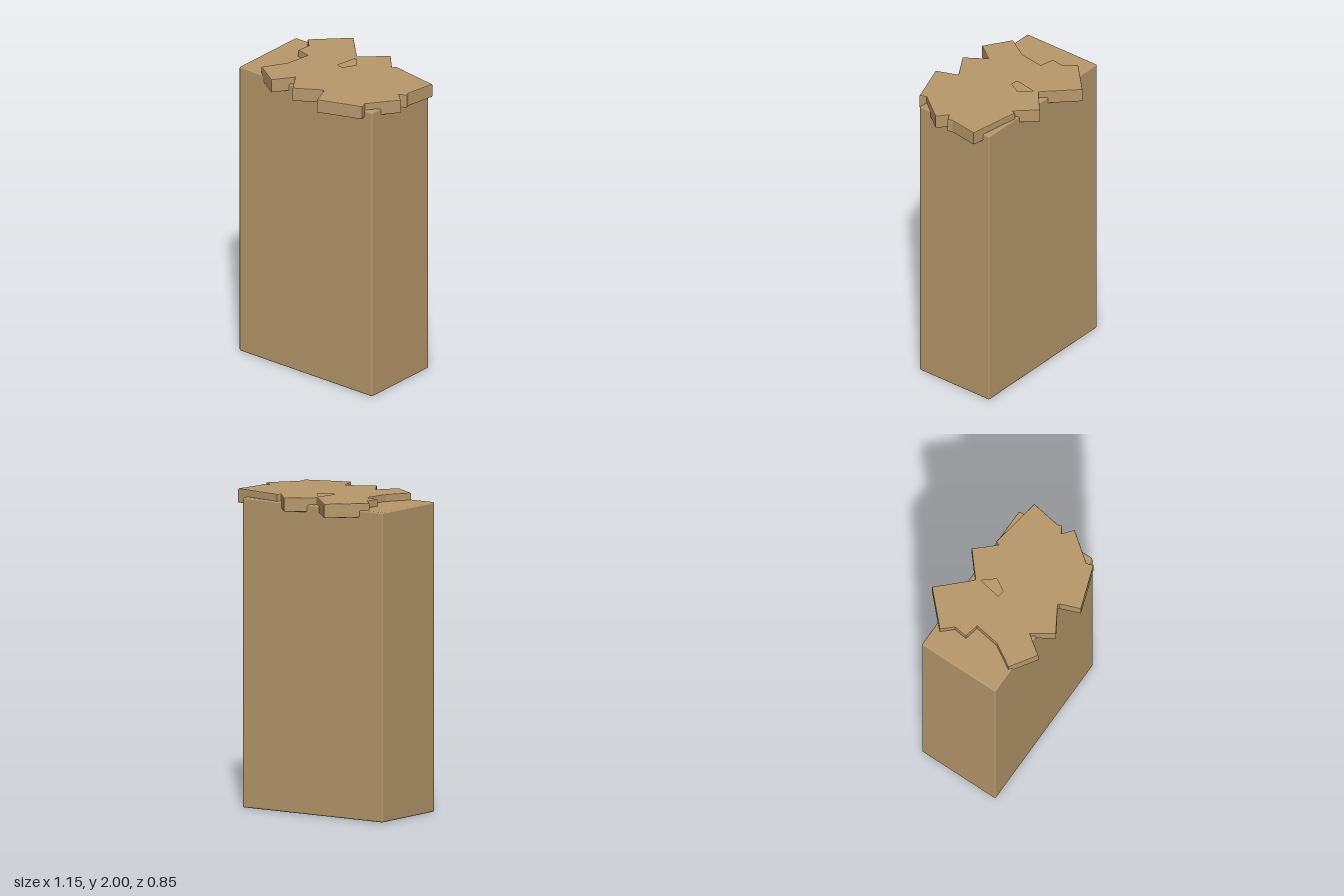
import * as THREE from 'three';
import { RoundedBoxGeometry } from 'three/addons/geometries/RoundedBoxGeometry.js';

// Plan points are [x, z]; the shape is laid flat later, so z is flipped.
const toPoints = (plan) => plan.map(([x, z]) => new THREE.Vector2(x, -z));

export function createModel() {
  const group = new THREE.Group();
  group.name = 'blockWithSlabTop';
  const material = new THREE.MeshStandardMaterial({ color: 0xb8996b });

  // Tall block with softened edges
  const body = new THREE.Mesh(new RoundedBoxGeometry(1.075, 1.955, 0.557, 2, 0.01), material);
  body.name = 'body';
  body.position.set(-0.04, 0.9775, 0.003);
  group.add(body);

  // Jagged slab lying on the top, like overlapping tiles
  const outline = new THREE.Shape(toPoints([
    [-0.24, -0.43], [-0.055, -0.24], [-0.045, -0.235], [0.11, -0.37],
    [0.225, -0.245], [0.235, -0.27], [0.575, -0.215], [0.545, -0.02],
    [0.555, 0.01], [0.51, 0.035], [0.575, 0.09], [0.435, 0.275],
    [0.45, 0.32], [0.165, 0.42], [0.115, 0.29], [0.105, 0.285],
    [-0.06, 0.385], [-0.15, 0.25], [-0.24, 0.375], [-0.41, 0.265],
    [-0.32, 0.115], [-0.295, -0.05], [-0.39, -0.07], [-0.38, -0.16],
    [-0.445, -0.23],
  ]));
  // Small gap left between the tiles
  outline.holes.push(new THREE.Path(toPoints([
    [-0.035, -0.21], [0.04, -0.125], [-0.01, -0.04], [-0.065, -0.05],
  ])));

  const bevel = 0.006;
  const slabGeometry = new THREE.ExtrudeGeometry(outline, {
    depth: 0.09 - 2 * bevel,
    bevelThickness: bevel,
    bevelSize: bevel,
    bevelOffset: -bevel,
    bevelSegments: 2,
  });
  slabGeometry.rotateX(-Math.PI / 2);
  const slab = new THREE.Mesh(slabGeometry, material);
  slab.name = 'topSlab';
  slab.position.y = 1.91 + bevel;
  group.add(slab);

  return group;
}
